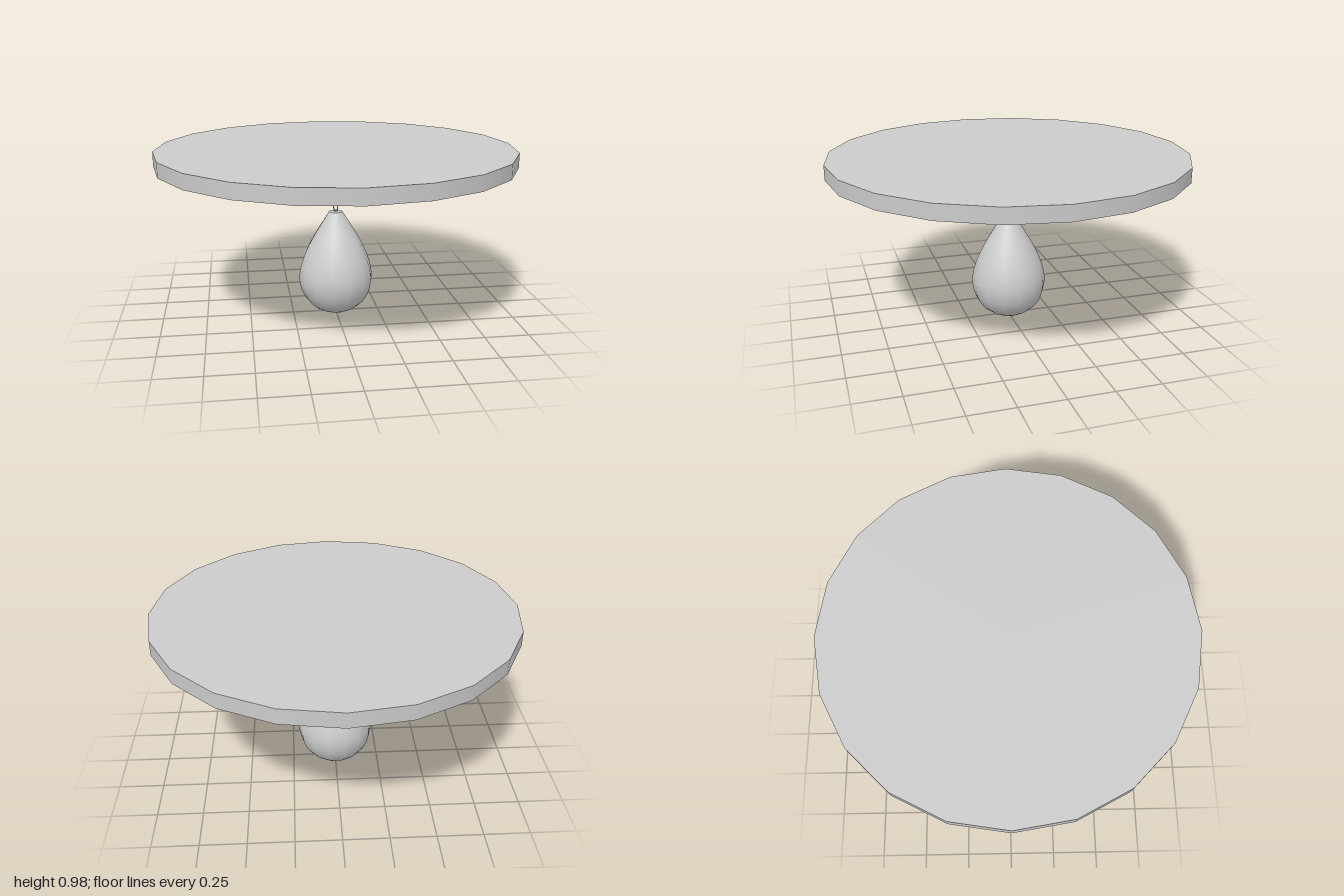
import * as THREE from 'three';

export function createModel() {
  const model = new THREE.Group();
  const material = new THREE.MeshStandardMaterial({ color: 0xcccccc });

  const add = (name, geometry, x = 0, y = 0, z = 0, parent = model) => {
    const mesh = new THREE.Mesh(geometry, material);
    mesh.name = name;
    mesh.position.set(x, y, z);
    parent.add(mesh);
    return mesh;
  };
  // Upright round part between two heights
  const round = (name, rTop, rBottom, top, bottom, sides, parent) =>
    add(name, new THREE.CylinderGeometry(rTop, rBottom, top - bottom, sides), 0, (top + bottom) / 2, 0, parent);

  // Round backboard
  round('board', 1, 1, 0.975, 0.893, 20);

  // Swivel: mounting plate, tapered socket, stem and cross barrel
  const swivel = new THREE.Group();
  swivel.name = 'swivel';
  model.add(swivel);
  round('mountingPlate', 0.082, 0.08, 0.895, 0.883, 24, swivel);
  round('socket', 0.046, 0.03, 0.883, 0.82, 20, swivel);
  round('stem', 0.016, 0.016, 0.822, 0.785, 16, swivel);
  add('barrel', new THREE.CylinderGeometry(0.034, 0.034, 0.076, 20).rotateX(Math.PI / 2), 0, 0.763, 0, swivel);
  add('pin', new THREE.CylinderGeometry(0.009, 0.009, 0.1, 12).rotateX(Math.PI / 2), 0, 0.763, 0, swivel);

  // U-shaped shackle hanging from the pin
  const shacklePath = new THREE.CurvePath();
  const v = (y, z) => new THREE.Vector3(0, y, z);
  shacklePath.add(new THREE.LineCurve3(v(0.772, 0.05), v(0.71, 0.05)));
  shacklePath.add(new THREE.CubicBezierCurve3(v(0.71, 0.05), v(0.658, 0.05), v(0.658, -0.05), v(0.71, -0.05)));
  shacklePath.add(new THREE.LineCurve3(v(0.71, -0.05), v(0.772, -0.05)));
  add('shackle', new THREE.TubeGeometry(shacklePath, 36, 0.009, 10), 0, 0, 0, swivel);
  for (const side of [-1, 1])
    add('shackleEnd', new THREE.SphereGeometry(0.0095, 12, 8), 0, 0.77, side * 0.05, swivel);

  // Narrow oval link between shackle and bag
  const link = new THREE.TorusGeometry(0.03, 0.007, 10, 24);
  link.scale(0.4, 1.15, 1);
  add('link', link, 0, 0.637, 0, swivel);

  // Pear-shaped bag with a flat top
  const outline = new THREE.SplineCurve([
    [0, 0], [0.055, 0.007], [0.11, 0.029], [0.16, 0.069], [0.197, 0.13], [0.213, 0.205], [0.204, 0.28],
    [0.177, 0.36], [0.136, 0.445], [0.088, 0.525], [0.038, 0.605],
  ].map(([x, y]) => new THREE.Vector2(x, y)));
  const profile = outline.getPoints(24);
  profile[0].x = 0;
  add('bag', new THREE.LatheGeometry(profile, 14, Math.PI / 2));
  add('bagTop', new THREE.CircleGeometry(0.038, 14).rotateX(-Math.PI / 2), 0, 0.605, 0);

  return model;
}
